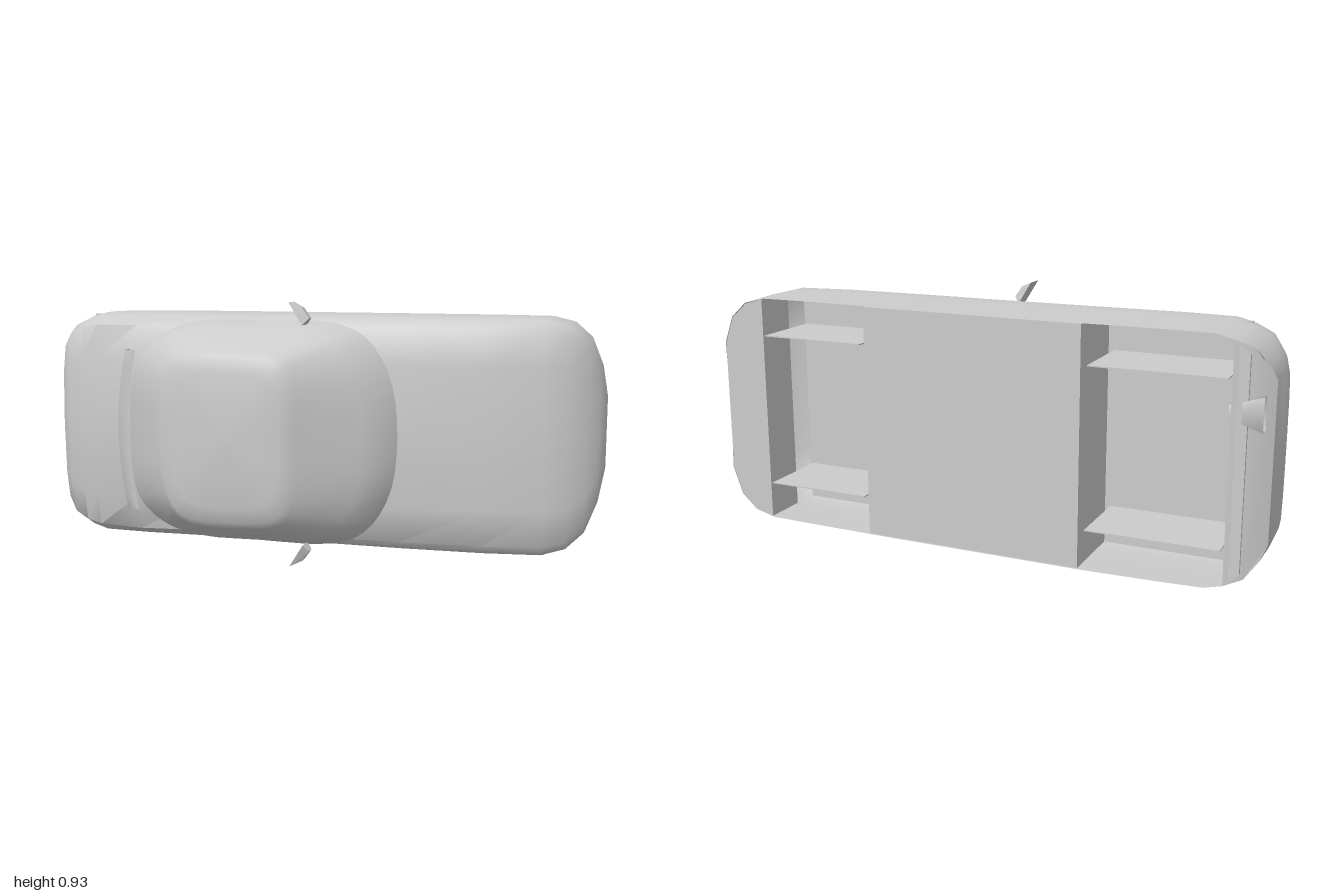
import * as THREE from 'three';
import { toCreasedNormals } from 'three/addons/utils/BufferGeometryUtils.js';
import { ConvexGeometry } from 'three/addons/geometries/ConvexGeometry.js';

const CY = 0.465; // centre line of the body, which lies on its side: nose +x, roof +z
const material = new THREE.MeshStandardMaterial({ color: 0xcccccc, side: THREE.DoubleSide });

// Skin a list of equally long rows of [x, across, z] points
function loft(rows, closed = false) {
  const n = rows[0].length, positions = [], index = [];
  rows.forEach(row => row.forEach(([x, v, z]) => positions.push(x, CY + v, z)));
  for (let i = 0; i < rows.length - 1; i++) {
    for (let j = 0; j < (closed ? n : n - 1); j++) {
      const k = (j + 1) % n;
      const a = i * n + j, b = a + n, c = i * n + k, d = c + n;
      index.push(a, c, b, b, c, d);
    }
  }
  const g = new THREE.BufferGeometry();
  g.setAttribute('position', new THREE.Float32BufferAttribute(positions, 3));
  g.setIndex(index);
  g.computeVertexNormals();
  return g;
}

// Body cross-section from one lower edge over the top to the other
function bodySection([x, w, zb, zs, zt]) {
  const half = [
    [0.985 * w, zb], [w, zb + 0.6 * (zs - zb)], [w, zs - 0.05], [0.975 * w, zs],
    [0.9 * w, zs + 0.6 * (zt - zs)], [0.6 * w, zs + 0.9 * (zt - zs)],
  ];
  const other = half.map(([v, z]) => [-v, z]).reverse();
  return [...half, [0, zt], ...other].map(([v, z]) => [x, v, z]);
}

// Closed, smoothed cabin outline at one height, mirrored about the centre line
function cabinRing(z, half) {
  const other = half.slice(1, -1).reverse().map(([x, v]) => [x, -v]);
  const points = [...half, ...other].map(([x, v]) => new THREE.Vector3(x, v, z));
  const curve = new THREE.CatmullRomCurve3(points, true, 'centripetal');
  return curve.getPoints(48).slice(0, -1).map(p => [p.x, p.y, p.z]);
}

export function createModel() {
  const group = new THREE.Group();
  const add = (name, geometry) => {
    const mesh = new THREE.Mesh(geometry, material);
    mesh.name = name;
    group.add(mesh);
    return mesh;
  };
  const addBox = (name, x0, x1, v0, v1, z0, z1) => {
    const g = new THREE.BoxGeometry(x1 - x0, v1 - v0, z1 - z0);
    g.translate((x0 + x1) / 2, CY + (v0 + v1) / 2, (z0 + z1) / 2);
    return add(name, g);
  };

  // Lower body: x, half width, lower edge, shoulder, centre top
  const stations = [
    [-1, 0, -0.22, -0.05, -0.01],
    [-1, 0.27, -0.22, -0.05, -0.01],
    [-0.98, 0.32, -0.25, -0.02, 0.045],
    [-0.94, 0.375, -0.28, 0, 0.08],
    [-0.88, 0.4, -0.3, 0.02, 0.105],
    [-0.82, 0.415, -0.303, 0.03, 0.115],
    [-0.65, 0.417, -0.31, 0.03, 0.14],
    [-0.4, 0.417, -0.32, 0.02, 0.1],
    [0, 0.417, -0.32, 0.01, 0.08],
    [0.31, 0.417, -0.32, 0.01, 0.075],
    [0.6, 0.417, -0.315, 0, 0.05],
    [0.8, 0.415, -0.315, -0.02, 0.02],
    [0.88, 0.395, -0.315, -0.05, -0.01],
    [0.94, 0.34, -0.315, -0.085, -0.055],
    [0.98, 0.24, -0.31, -0.14, -0.1],
    [1, 0.13, -0.28, -0.18, -0.14],
    [1, 0, -0.28, -0.18, -0.14],
  ];
  add('bodyShell', toCreasedNormals(loft(stations.map(bodySection)), 0.8));

  // Cabin: glass slopes and crowned roof
  const waist = [[0.31, 0], [0.27, 0.235], [0.15, 0.37], [-0.2, 0.395], [-0.5, 0.375], [-0.64, 0.26], [-0.67, 0]];
  const eaves = [[0.01, 0], [0, 0.2], [-0.05, 0.285], [-0.2, 0.31], [-0.42, 0.29], [-0.48, 0.2], [-0.5, 0]];
  const scaled = s => eaves.map(([x, v]) => [-0.23 + (x + 0.23) * s, v * s]);
  add('cabin', loft([
    cabinRing(0, waist),
    cabinRing(0.075, waist),
    cabinRing(0.15, waist.map(([x, v], i) => i < 4
      ? [x + (eaves[i][0] - x) * 0.37, v + (eaves[i][1] - v) * 0.37]
      : [x + 0.01, v * 0.94])),
    cabinRing(0.27, eaves),
    cabinRing(0.293, scaled(0.92)),
    cabinRing(0.305, scaled(0.75)),
    cabinRing(0.315, scaled(0.4)),
    cabinRing(0.318, scaled(0.01)),
  ], true));

  // Thin curved lip below the rear glass
  const lip = [];
  for (let i = 0; i <= 12; i++) {
    const v = 0.29 - (0.58 * i) / 12, x = -0.705 + 0.4 * v * v;
    lip.push([[x + 0.04, v, 0.155], [x, v, 0.155], [x, v, 0.1]]);
  }
  add('rearLip', loft(lip));

  // Floor pan; its ends close the wheel bays
  addBox('floorPan', -0.4, 0.39, -0.408, 0.408, -0.318, -0.05);
  addBox('bayCeiling', -0.88, 0.81, -0.408, 0.408, -0.05, -0.04);

  // Undersides of nose and tail
  const endPanel = (name, outline, z, depth) => {
    const pts = [...outline, ...outline.slice().reverse().map(([x, v]) => [x, -v])];
    const shape = new THREE.Shape(pts.map(([x, v]) => new THREE.Vector2(x, CY + v)));
    const g = new THREE.ExtrudeGeometry(shape, { depth, bevelEnabled: false });
    add(name, g.translate(0, 0, z));
  };
  endPanel('noseUnderside', [[0.81, 0.406], [0.88, 0.386], [0.94, 0.332], [0.975, 0.235]], -0.313, 0.16);
  endPanel('tailUnderside', [[-0.88, 0.394], [-0.9, 0.38], [-0.93, 0.35]], -0.295, 0.2);
  add('tailSlope', loft([
    [[-0.88, 0.394, -0.3], [-0.88, -0.394, -0.3]],
    [[-0.94, 0.369, -0.28], [-0.94, -0.369, -0.28]],
    [[-1, 0.266, -0.22], [-1, -0.266, -0.22]],
  ]));

  // Inner plates separating the wheel spaces from the bays
  for (const side of [-1, 1]) {
    const v = side * 0.275;
    addBox('frontWheelPlate', 0.41, 0.8, v - 0.002, v + 0.002, -0.316, -0.045);
    addBox('rearWheelPlate', -0.87, -0.42, v - 0.002, v + 0.002, -0.312, -0.045);

    // Tapered door mirror
    const corners = [];
    for (const [x, h, zs] of [[-0.06, 0.465, [0.08, 0.147]], [-0.012, 0.387, [0.08, 0.147]],
      [-0.018, 0.447, [0.098, 0.13]], [0.008, 0.41, [0.098, 0.13]]]) {
      zs.forEach(z => corners.push(new THREE.Vector3(x, CY + side * h, z)));
    }
    add('doorMirror', new ConvexGeometry(corners));
  }

  // Flared exhaust tip
  add('exhaustTip', loft([
    [[-0.87, 0.02, -0.29], [-0.87, -0.02, -0.29], [-0.87, -0.02, -0.275], [-0.87, 0.02, -0.275]],
    [[-0.98, 0.055, -0.303], [-0.98, -0.055, -0.303], [-0.98, -0.055, -0.265], [-0.98, 0.055, -0.265]],
  ].map(row => row.map(([x, v, z]) => [x, v + 0.17, z])), true));

  return group;
}
